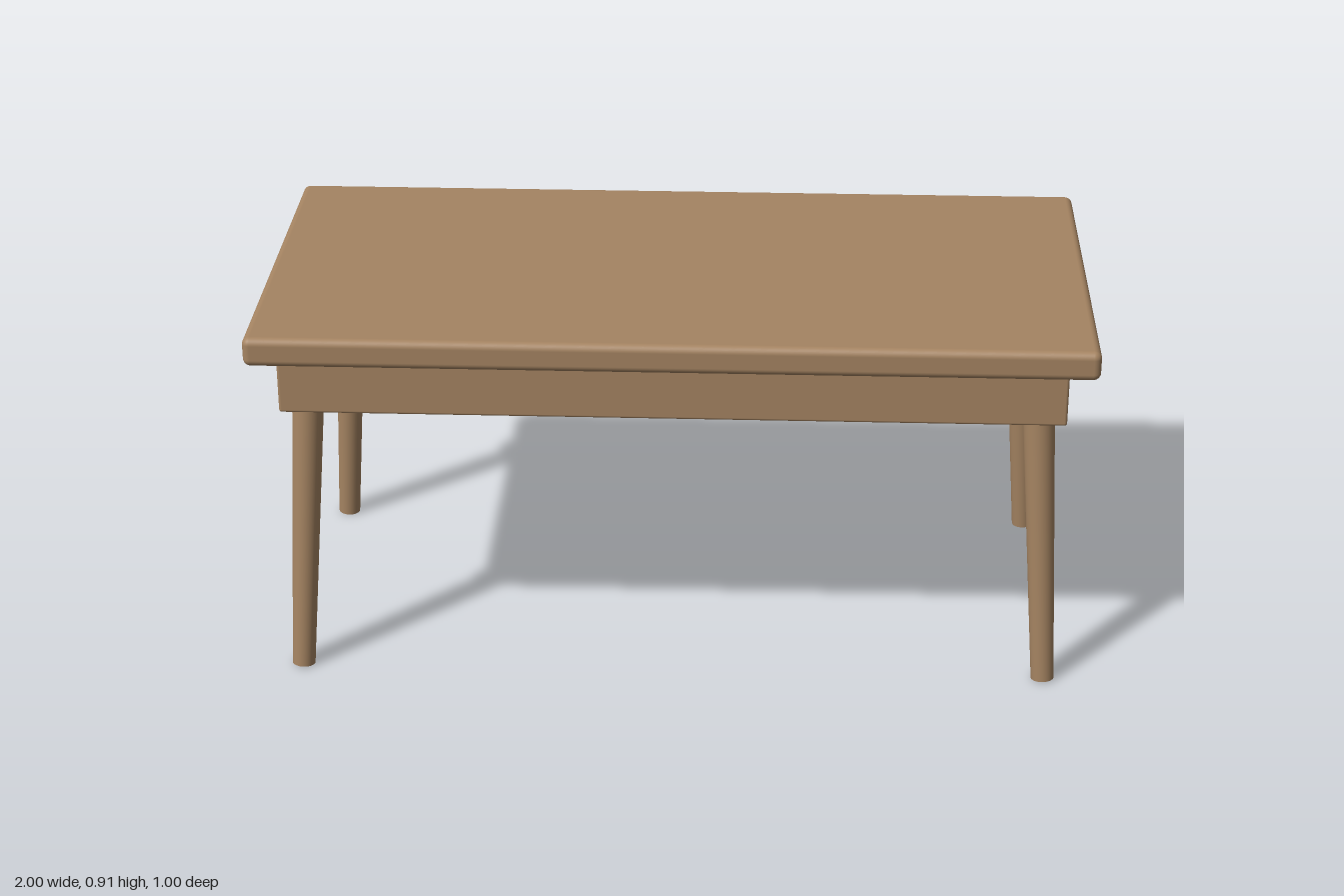
import * as THREE from 'three';
import { RoundedBoxGeometry } from 'three/addons/geometries/RoundedBoxGeometry.js';

export function createModel() {
  const table = new THREE.Group();
  table.name = 'table';
  const wood = new THREE.MeshStandardMaterial({ color: 0xa58462 });
  wood.name = 'wood';

  const add = (name, geometry, x, y, z) => {
    const mesh = new THREE.Mesh(geometry, wood);
    mesh.name = name;
    mesh.position.set(x, y, z);
    table.add(mesh);
    return mesh;
  };

  // Slab with softly rounded edges
  add('tableTop', new RoundedBoxGeometry(2, 0.072, 1, 4, 0.018), 0, 0.879, 0);

  // Long rails under the front and back edges
  const rail = new RoundedBoxGeometry(1.872, 0.16, 0.055, 3, 0.007);
  for (const z of [1, -1]) {
    add(z > 0 ? 'frontRail' : 'backRail', rail, 0, 0.768, z * 0.388);
  }

  // Tapered round legs, splayed outwards towards the floor
  const up = new THREE.Vector3(0, 1, 0);
  for (const z of [1, -1]) {
    for (const x of [1, -1]) {
      const foot = new THREE.Vector3(x * 0.912, 0.0025, z * 0.412);
      const head = new THREE.Vector3(x * 0.863, 0.85, z * 0.363);
      const axis = head.clone().sub(foot);
      const middle = foot.clone().add(head).multiplyScalar(0.5);
      const leg = add(
        (z > 0 ? 'front' : 'back') + (x > 0 ? 'Left' : 'Right') + 'Leg',
        new THREE.CylinderGeometry(0.04, 0.028, axis.length(), 32),
        middle.x, middle.y, middle.z
      );
      leg.quaternion.setFromUnitVectors(up, axis.normalize());
    }
  }

  return table;
}
